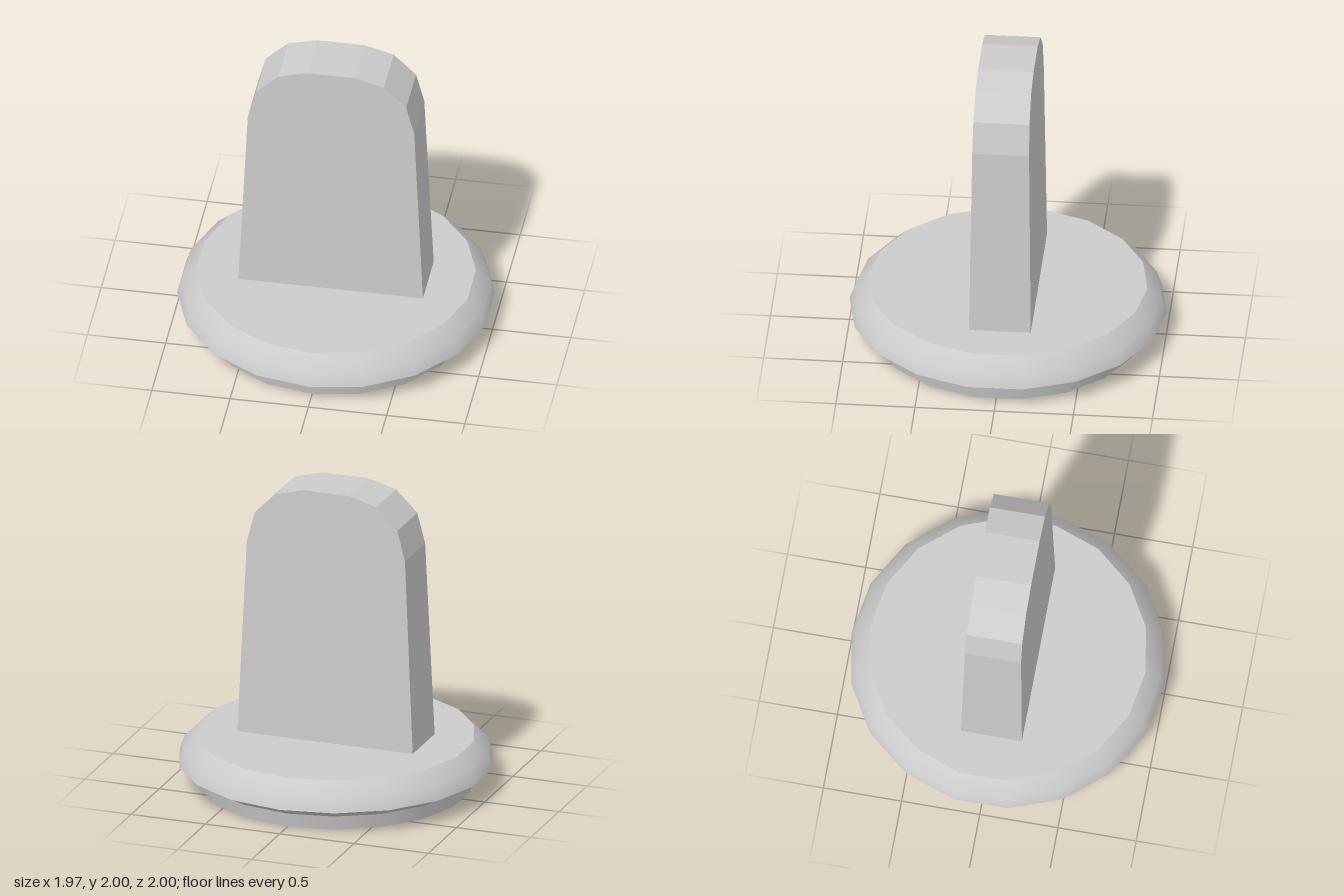
import * as THREE from 'three';

const SIDES = 18;
const TAB_BOTTOM = 0.285;

export function createModel() {
  const model = new THREE.Group();
  const grey = new THREE.MeshStandardMaterial({ color: 0xcccccc, side: THREE.DoubleSide });
  grey.name = 'light grey';

  const add = (name, geometry) => {
    const mesh = new THREE.Mesh(geometry, grey);
    mesh.name = name;
    model.add(mesh);
    return mesh;
  };

  // Base: open-bottomed thin shell, one lathe per band so the rims stay sharp
  const bands = {
    baseFoot: [[0.86, 0], [0.88, 0.095]],
    baseUnderside: [[0.88, 0.095], [1, 0.16]],
    baseRim: [[1, 0.16], [0.97, 0.25], [0.88, 0.335]],
  };
  for (const [name, profile] of Object.entries(bands)) {
    add(name, new THREE.LatheGeometry(profile.map(([r, y]) => new THREE.Vector2(r, y)), SIDES));
  }

  // Flat plate closing the top of the base
  const plate = new THREE.CircleGeometry(0.88, SIDES, Math.PI / 2).rotateX(-Math.PI / 2);
  add('basePlate', plate.translate(0, 0.335, 0));

  // Upright tab: rounded-top outline, tapering in thickness, open at the bottom
  const half = [[0.592, TAB_BOTTOM], [0.532, 1.61], [0.48, 1.81], [0.337, 1.95], [0.15, 2]];
  const outline = [...half, ...half.map(([x, y]) => [-x, y]).reverse()];
  const shape = new THREE.Shape(outline.map(([x, y]) => new THREE.Vector2(x, y)));
  const solid = new THREE.ExtrudeGeometry(shape, { depth: 2, bevelEnabled: false }).translate(0, 0, -1);
  const pos = (solid.index ? solid.toNonIndexed() : solid).attributes.position;
  const kept = [];
  for (let i = 0; i < pos.count; i += 3) {
    const corners = [i, i + 1, i + 2];
    // Leave out the bottom face
    if (corners.every((c) => pos.getY(c) < TAB_BOTTOM + 0.001)) continue;
    for (const c of corners) {
      const y = pos.getY(c);
      const thickness = THREE.MathUtils.mapLinear(y, 0.335, 2, 0.195, 0.175);
      kept.push(pos.getX(c), y, Math.sign(pos.getZ(c)) * thickness);
    }
  }
  const tab = new THREE.BufferGeometry();
  tab.setAttribute('position', new THREE.Float32BufferAttribute(kept, 3));
  tab.computeVertexNormals();
  add('uprightTab', tab);

  return model;
}
